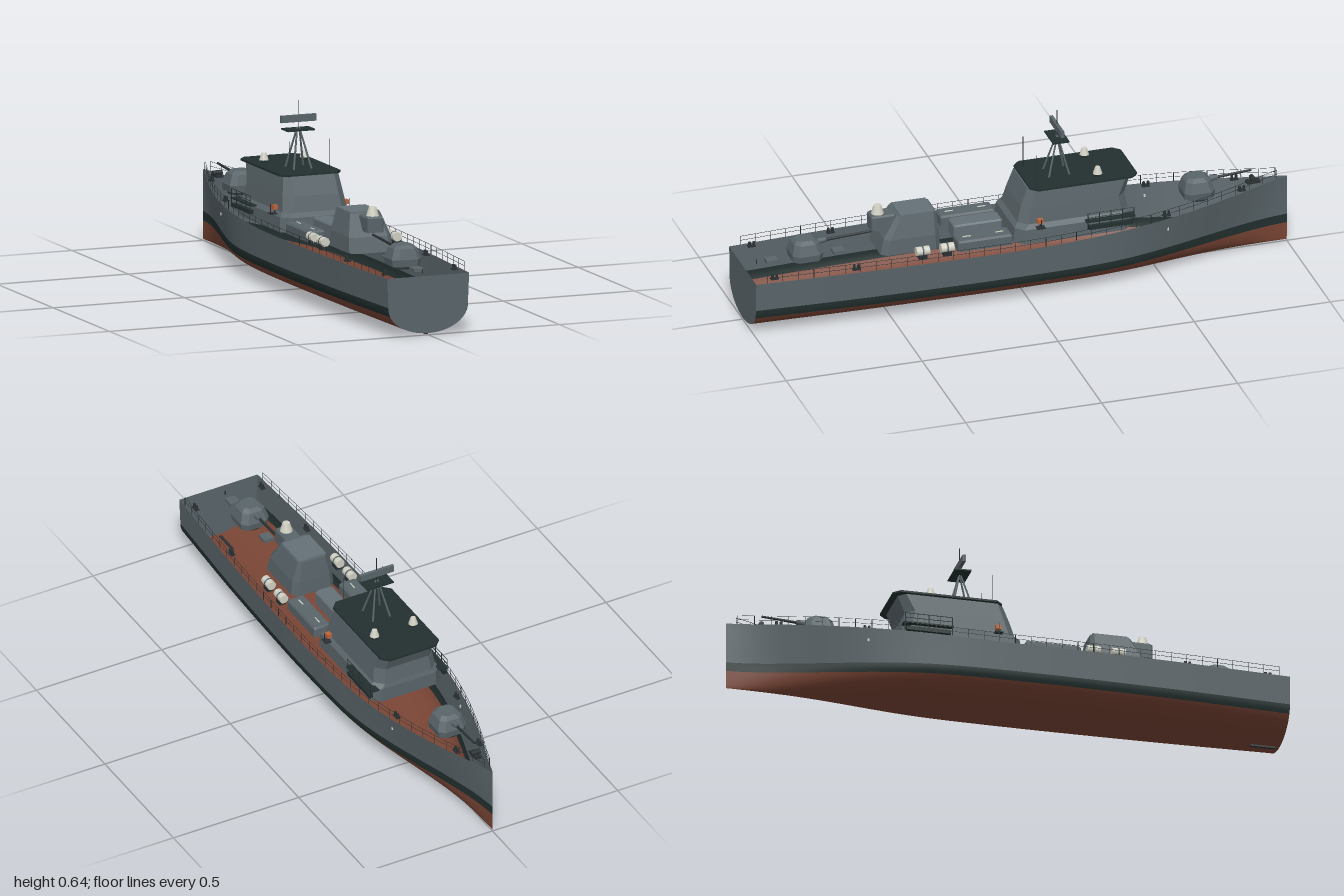
import * as THREE from 'three';

const mat = (name, color, side = THREE.FrontSide) => {
  const m = new THREE.MeshStandardMaterial({ color, side });
  m.name = name;
  return m;
};

export function createModel() {
  const root = new THREE.Group();
  root.name = 'patrolShip';
  const grey = mat('hullGrey', 0x5a656a, THREE.DoubleSide);
  const dark = mat('darkGreen', 0x22302f, THREE.DoubleSide);
  const red = mat('bottomRed', 0x7a4535, THREE.DoubleSide);
  const ivory = mat('ivory', 0xd2d1c4);
  const orange = mat('orange', 0xb8643a);
  const black = mat('fittingBlack', 0x2b3133);
  const light = mat('hatchGrey', 0x667178);

  const add = (name, geo, m, x = 0, y = 0, z = 0, parent = root) => {
    const mesh = new THREE.Mesh(geo, m);
    mesh.name = name;
    mesh.position.set(x, y, z);
    parent.add(mesh);
    return mesh;
  };
  const box = (name, m, w, h, d, x, y, z) => add(name, new THREE.BoxGeometry(w, h, d), m, x, y, z);
  // Straight bar between two points
  const bar = (name, m, a, b, r, r2 = r, sides = 6) => {
    const p = new THREE.Vector3(...a), q = new THREE.Vector3(...b), d = q.clone().sub(p);
    const mesh = add(name, new THREE.CylinderGeometry(r2, r, d.length(), sides), m);
    mesh.position.copy(p).add(q).multiplyScalar(0.5);
    mesh.quaternion.setFromUnitVectors(new THREE.Vector3(0, 1, 0), d.normalize());
    return mesh;
  };
  // Faceted block from chamfered rectangles [y, halfWidth, zMin, zMax, chamfer]
  const loft = (name, m, rings, x = 0, y = 0, z = 0) => {
    const pts = rings.map(([h, w, a, b, c]) => [[w, a + c], [w, b - c], [w - c, b], [c - w, b],
      [-w, b - c], [-w, a + c], [c - w, a], [w - c, a]].map(([px, pz]) => [px, h, pz]));
    const pos = [];
    const tri = (...p) => p.forEach((v) => pos.push(...v));
    for (let r = 0; r < pts.length - 1; r++) {
      for (let i = 0; i < 8; i++) {
        const j = (i + 1) % 8, lo = pts[r], hi = pts[r + 1];
        tri(lo[i], hi[i], lo[j]);
        tri(lo[j], hi[i], hi[j]);
      }
    }
    const top = pts[pts.length - 1], bot = pts[0];
    for (let i = 1; i < 7; i++) {
      tri(top[0], top[i + 1], top[i]);
      tri(bot[0], bot[i], bot[i + 1]);
    }
    const g = new THREE.BufferGeometry();
    g.setAttribute('position', new THREE.Float32BufferAttribute(pos, 3));
    g.computeVertexNormals();
    return add(name, g, m, x, y, z);
  };

  // Hull lines: rail half-width along z, sheer height, and half-width at any height
  const plan = [[-1, 0.001], [-0.9, 0.032], [-0.8, 0.068], [-0.6, 0.126], [-0.4, 0.165], [-0.2, 0.182],
    [0, 0.187], [0.2, 0.187], [0.6, 0.177], [1, 0.156]];
  const railHalf = (z) => {
    let i = 0;
    while (i < plan.length - 2 && z > plan[i + 1][0]) i++;
    const [p0, p1, p2, p3] = [-1, 0, 1, 2].map((k) => plan[Math.min(plan.length - 1, Math.max(0, i + k))]);
    const h = p2[0] - p1[0], t = (z - p1[0]) / h;
    const m1 = (p2[1] - p0[1]) / (p2[0] - p0[0]) * h, m2 = (p3[1] - p1[1]) / (p3[0] - p1[0]) * h;
    return (2 * t ** 3 - 3 * t * t + 1) * p1[1] + (t ** 3 - 2 * t * t + t) * m1
      + (3 * t * t - 2 * t ** 3) * p2[1] + (t ** 3 - t * t) * m2;
  };
  const sheer = (z) => 0.21 + 0.045 * Math.max(0, -z) ** 1.3;
  const keel = 0.006, turn = 0.1;
  const half = (y, z) => {
    const flare = 0.97 - 0.65 * Math.max(0, (-z - 0.2) / 0.8) ** 1.8;
    const rail = railHalf(z);
    if (y >= turn) return rail * (flare + (1 - flare) * (y - turn) / (sheer(z) - turn));
    const u = (turn - y) / (turn - keel);
    return rail * flare * Math.sqrt(Math.max(0, 1 - u * u));
  };

  // Hull shell strips, open at the top
  const strip = (name, m, yAt, rows, side) => {
    const pos = [], idx = [], n = 60;
    for (let i = 0; i <= n; i++) {
      const z = -1 + 2 * i / n;
      for (let j = 0; j <= rows; j++) {
        const y = yAt(j / rows, z);
        pos.push(side * half(y, z), y, z);
      }
    }
    for (let i = 0; i < n; i++) {
      for (let j = 0; j < rows; j++) {
        const a = i * (rows + 1) + j, b = a + 1, c = a + rows + 1, d = c + 1;
        if (side > 0) idx.push(a, b, c, c, b, d);
        else idx.push(a, c, b, c, d, b);
      }
    }
    const g = new THREE.BufferGeometry();
    g.setAttribute('position', new THREE.Float32BufferAttribute(pos, 3));
    g.setIndex(idx);
    g.computeVertexNormals();
    add(name, g, m);
  };
  for (const s of [1, -1]) {
    strip('hullBottom', red, (t) => keel + (0.072 - keel) * t * t, 12, s);
    strip('waterlineBand', dark, (t) => 0.072 + 0.033 * t, 3, s);
    strip('hullSide', grey, (t, z) => 0.105 + (sheer(z) - 0.105) * t, 4, s);
  }
  const outline = [];
  for (let i = 0; i <= 16; i++) {
    const y = keel + (0.21 - keel) * (i / 16) ** 2;
    outline.push(new THREE.Vector2(half(y, 1), y));
  }
  const mirrored = outline.slice(1).reverse().map((p) => new THREE.Vector2(-p.x, p.y));
  add('transom', new THREE.ShapeGeometry(new THREE.Shape([...outline, ...mirrored])), grey, 0, 0, 1);
  box('skeg', black, 0.01, 0.01, 0.09, 0, 0.005, 0.94);

  // Superstructure and bridge
  loft('deckhouse', grey, [[0.208, 0.14, -0.39, 0.04, 0.03], [0.26, 0.137, -0.39, 0.035, 0.03],
    [0.275, 0.123, -0.385, 0.02, 0.03], [0.33, 0.115, -0.375, 0.005, 0.03], [0.396, 0.105, -0.4, -0.02, 0.025]]);
  loft('bridgeRoof', dark, [[0.395, 0.117, -0.42, -0.025, 0.025], [0.402, 0.117, -0.42, -0.025, 0.025]]);

  // Mast with radar
  for (const s of [1, -1]) {
    for (const z of [-0.115, -0.19]) bar('mastLeg', grey, [s * 0.034, 0.4, z], [s * 0.004, 0.546, -0.155], 0.004, 0.003);
  }
  box('mastPlatform', dark, 0.104, 0.005, 0.06, 0, 0.538, -0.155);
  box('radarPanel', grey, 0.133, 0.025, 0.012, 0, 0.577, -0.155);
  bar('mastPole', black, [0, 0.54, -0.155], [0, 0.642, -0.155], 0.0015);

  for (const s of [1, -1]) {
    // Roof domes and whip aerials
    bar('domeBase', dark, [s * 0.077, 0.4, -0.28], [s * 0.077, 0.414, -0.28], 0.011, 0.011, 12);
    bar('dome', ivory, [s * 0.077, 0.413, -0.28], [s * 0.077, 0.438, -0.28], 0.017, 0.009, 14);
    bar('whipAerial', black, [s * 0.077, 0.4, -0.055], [s * 0.077, 0.516, -0.055], 0.001);
    // Bridge wing gallery
    box('wingPlatform', dark, 0.035, 0.004, 0.18, s * 0.138, 0.265, -0.305);
    box('wingRack', dark, 0.015, 0.014, 0.16, s * 0.148, 0.242, -0.305);
    for (const y of [0.282, 0.299]) bar('wingRail', black, [s * 0.153, y, -0.22], [s * 0.153, y, -0.39], 0.0012);
    for (let i = 0; i < 5; i++) bar('wingPost', black, [s * 0.153, 0.235, -0.22 - i * 0.0425], [s * 0.153, 0.3, -0.22 - i * 0.0425], 0.0014);
    // Signal lamp on its bracket
    box('lampBox', orange, 0.018, 0.016, 0.02, s * 0.135, 0.288, -0.05);
    box('lampBracket', black, 0.036, 0.004, 0.03, s * 0.136, 0.266, -0.05);
    bar('lampPost', black, [s * 0.135, 0.266, -0.05], [s * 0.135, 0.281, -0.05], 0.003);
    bar('wingStaff', black, [s * 0.151, 0.266, -0.05], [s * 0.151, 0.3, -0.05], 0.0014);
    // Side lockers
    loft('sideLocker', grey, [[0.212, 0.033, 0.05, 0.25, 0.004], [0.245, 0.033, 0.05, 0.25, 0.004], [0.252, 0.028, 0.055, 0.245, 0.004]], s * 0.103);
    for (const z of [0.09, 0.21]) box('lockerMark', ivory, 0.004, 0.003, 0.03, s * 0.103, 0.253, z);
    // Life rafts
    for (const z of [0.293, 0.383]) {
      bar('lifeRaft', ivory, [s * 0.137, 0.239, z - 0.024], [s * 0.137, 0.239, z + 0.024], 0.0165, 0.0165, 18);
      box('raftCradle', black, 0.024, 0.018, 0.03, s * 0.137, 0.219, z);
      bar('raftStrap', grey, [s * 0.137, 0.239, z - 0.003], [s * 0.137, 0.239, z + 0.003], 0.017, 0.017, 18);
    }
    // Mooring bollards
    for (const [x, z] of [[0.132, 0.925], [0.15, 0.63], [0.12, -0.52], [0.045, -0.82]]) {
      const y = sheer(z);
      box('bollardBase', black, 0.016, 0.004, 0.028, s * x, y + 0.002, z);
      for (const d of [-0.008, 0.008]) bar('bollard', black, [s * x, y, z + d], [s * x, y + 0.018, z + d], 0.005, 0.005, 8);
    }
    box('hullLight', ivory, 0.006, 0.01, 0.006, s * half(0.185, -0.52), 0.185, -0.52);
    // Guard rails along the deck edge
    const point = (z, h) => [s * Math.max(0.004, railHalf(z) - 0.003), sheer(z) + h, z];
    const count = 34;
    for (let i = 0; i <= count; i++) {
      const z = 0.96 - 1.92 * i / count;
      bar('railPost', black, point(z, 0), point(z, 0.034), 0.0011, 0.0011, 4);
      if (i < count) for (const h of [0.018, 0.034]) bar('railWire', black, point(z, h), point(z - 1.92 / count, h), 0.0008, 0.0008, 4);
    }
  }

  // Centre hatch between the lockers
  loft('centreHatch', light, [[0.212, 0.035, 0.055, 0.235, 0.006], [0.258, 0.035, 0.055, 0.235, 0.006], [0.264, 0.03, 0.06, 0.23, 0.006]]);

  // Aft director house
  loft('aftHouse', grey, [[0.21, 0.084, 0.295, 0.515, 0.02], [0.265, 0.079, 0.297, 0.5, 0.02], [0.342, 0.057, 0.305, 0.45, 0.012]]);
  box('aftHouseTop', light, 0.108, 0.005, 0.125, 0, 0.343, 0.375);
  loft('directorBox', grey, [[0.285, 0.03, 0.44, 0.535, 0.004], [0.335, 0.03, 0.44, 0.535, 0.004], [0.341, 0.026, 0.45, 0.53, 0.004]]);
  bar('directorDome', ivory, [0, 0.34, 0.505], [0, 0.373, 0.505], 0.023, 0.013, 16);

  // Gun turrets, barrels toward the bow
  for (const [z, y, len] of [[0.77, 0.212, 0.26], [-0.67, 0.235, 0.2]]) {
    bar('gunRing', black, [0, y - 0.01, z], [0, y + 0.006, z], 0.045, 0.045, 20);
    loft('gunTurret', grey, [[0, 0.052, -0.052, 0.055, 0.018], [0.025, 0.056, -0.056, 0.058, 0.02],
      [0.062, 0.044, -0.042, 0.048, 0.018], [0.074, 0.03, -0.028, 0.036, 0.014]], 0, y, z);
    bar('gunMantlet', grey, [0, y + 0.05, z - 0.03], [0, y + 0.055, z - 0.075], 0.012, 0.009, 10);
    bar('gunBarrel', black, [0, y + 0.052, z - 0.05], [0, y + 0.062, z - len], 0.0055, 0.004, 8);
  }

  // Small deck hatches and bow windlass
  for (const z of [0.65, 0.895]) box('deckHatch', grey, 0.038, 0.012, 0.042, 0, 0.216, z);
  bar('sternStaff', black, [0, 0.21, 0.95], [0, 0.225, 0.95], 0.002);
  box('windlassBase', black, 0.026, 0.008, 0.05, 0, 0.252, -0.875);
  bar('windlassDrum', black, [-0.018, 0.262, -0.875], [0.018, 0.262, -0.875], 0.009, 0.009, 10);
  return root;
}
